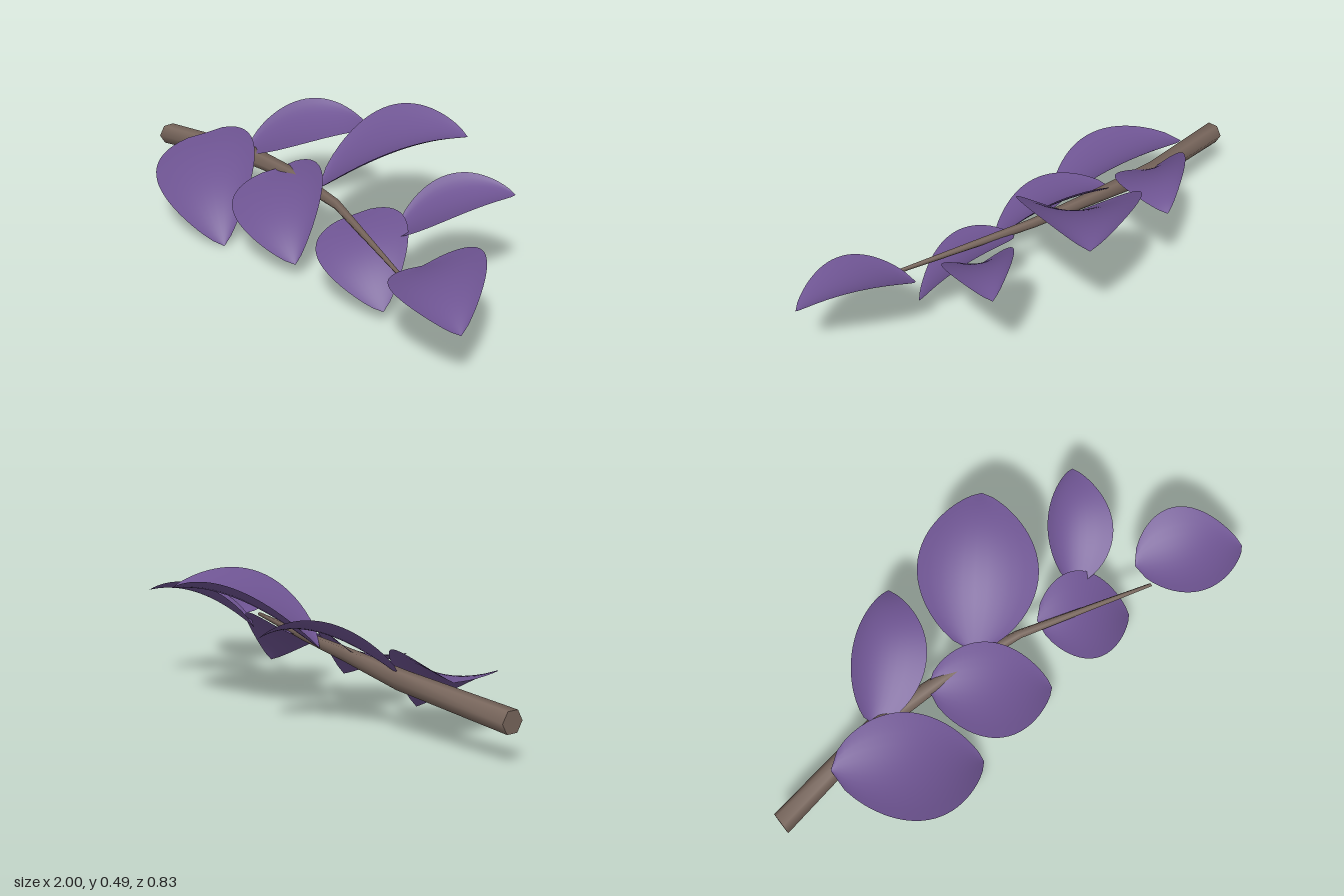
import * as THREE from 'three';
import { mergeVertices } from 'three/addons/utils/BufferGeometryUtils.js';

const stemBrown = new THREE.MeshStandardMaterial({ color: 0x78665c });
stemBrown.name = 'stem brown';
const leafPurple = new THREE.MeshStandardMaterial({ color: 0x6e5492, side: THREE.DoubleSide });
leafPurple.name = 'leaf purple';

const vec = (a) => new THREE.Vector3(...a);

// Tapering six-sided stem: [x, y, z, radius] at each ring
function makeStem() {
  const rings = [
    [-1, 0.148, 0.067, 0.044],
    [-0.53, 0.203, -0.001, 0.038],
    [-0.22, 0.231, 0.012, 0.027],
    [0.1, 0.242, 0.052, 0.018],
    [0.62, 0.228, 0.2, 0.007],
  ];
  const n = rings.length - 1;
  const tube = new THREE.CylinderGeometry(1, 1, 1, 6, n, true);
  const p = tube.attributes.position;
  for (let i = 0; i < p.count; i++) {
    const [x, y, z, r] = rings[Math.round((p.getY(i) + 0.5) * n)];
    p.setXYZ(i, x, y - p.getX(i) * r, z + p.getZ(i) * r);
  }
  // Join the seam so the sides shade smoothly all round
  tube.deleteAttribute('uv');
  tube.deleteAttribute('normal');
  const sides = mergeVertices(tube);
  sides.computeVertexNormals();
  const stem = new THREE.Group();
  stem.name = 'stem';
  const sidesMesh = new THREE.Mesh(sides, stemBrown);
  sidesMesh.name = 'stemSides';
  stem.add(sidesMesh);

  // Flat caps on the cut end and the thin end
  for (const [ring, turn] of [[rings[0], -1], [rings[n], 1]]) {
    const cap = new THREE.Mesh(new THREE.CircleGeometry(ring[3], 6), stemBrown);
    cap.name = turn < 0 ? 'cutEnd' : 'thinEnd';
    cap.rotation.y = turn * Math.PI / 2;
    cap.position.set(ring[0], ring[1], ring[2]);
    stem.add(cap);
  }
  return stem;
}

// Cupped leaf: an arched midrib with both halves lifted towards the edges
const WIDEST = 0.41;
function makeLeaf({ name, base, mid, tip, sideA, sideB }) {
  const b = vec(base), m = vec(mid), t = vec(tip), A = vec(sideA), B = vec(sideB);
  // Quadratic control point that makes the midrib pass through mid at the widest place
  const k = 1 - WIDEST;
  const control = m.clone().addScaledVector(b, -k * k).addScaledVector(t, -WIDEST * WIDEST)
    .divideScalar(2 * k * WIDEST);
  const midrib = new THREE.QuadraticBezierCurve3(b, control, t);
  const across = B.clone().sub(A).multiplyScalar(0.5);
  const lift = A.clone().add(B).multiplyScalar(0.5).sub(m);

  const geo = new THREE.PlaneGeometry(1, 1, 10, 24);
  const p = geo.attributes.position;
  for (let i = 0; i < p.count; i++) {
    const u = THREE.MathUtils.clamp(p.getY(i) + 0.5, 0, 1);
    const v = p.getX(i) * 2;
    const w = Math.pow(Math.max(0, Math.sin(Math.PI * Math.pow(u, 0.78))), 0.75);
    const q = midrib.getPoint(u).addScaledVector(across, v * w).addScaledVector(lift, v * v * w);
    p.setXYZ(i, q.x, q.y, q.z);
  }
  geo.computeVertexNormals();
  const mesh = new THREE.Mesh(geo, leafPurple);
  mesh.name = name;
  return mesh;
}

// sideA and sideB are the edge points at the widest place
const leaves = [
  { name: 'frontLeafLower', base: [-0.75, 0.23, 0.04], mid: [-0.525, 0.195, 0.18], tip: [-0.26, 0.003, 0.305],
    sideA: [-0.43, 0.285, 0.035], sideB: [-0.6, 0.195, 0.38] },
  { name: 'frontLeafMiddle', base: [-0.29, 0.235, 0.01], mid: [-0.11, 0.21, 0.135], tip: [0.11, 0.065, 0.25],
    sideA: [-0.03, 0.305, 0.015], sideB: [-0.2, 0.195, 0.305] },
  { name: 'frontLeafUpper', base: [0.19, 0.235, 0.05], mid: [0.34, 0.205, 0.135], tip: [0.535, 0.05, 0.2],
    sideA: [0.42, 0.285, 0], sideB: [0.27, 0.185, 0.28] },
  { name: 'backLeafLower', base: [-0.525, 0.22, -0.005], mid: [-0.355, 0.345, -0.165], tip: [-0.19, 0.332, -0.353],
    sideA: [-0.455, 0.402, -0.21], sideB: [-0.245, 0.328, -0.05] },
  { name: 'backLeafMiddle', base: [-0.07, 0.23, 0], mid: [0.08, 0.39, -0.18], tip: [0.29, 0.445, -0.41],
    sideA: [-0.08, 0.462, -0.315], sideB: [0.245, 0.462, -0.02] },
  { name: 'backLeafUpper', base: [0.39, 0.23, 0.02], mid: [0.495, 0.35, -0.12], tip: [0.64, 0.378, -0.305],
    sideA: [0.41, 0.402, -0.17], sideB: [0.605, 0.36, -0.02] },
  { name: 'endLeaf', base: [0.62, 0.235, 0.105], mid: [0.78, 0.28, 0.185], tip: [1, 0.22, 0.29],
    sideA: [0.84, 0.362, 0.045], sideB: [0.725, 0.285, 0.345] },
];

export function createModel() {
  const group = new THREE.Group();
  group.name = 'leafyBranch';
  group.add(makeStem());
  for (const leaf of leaves) group.add(makeLeaf(leaf));
  return group;
}
